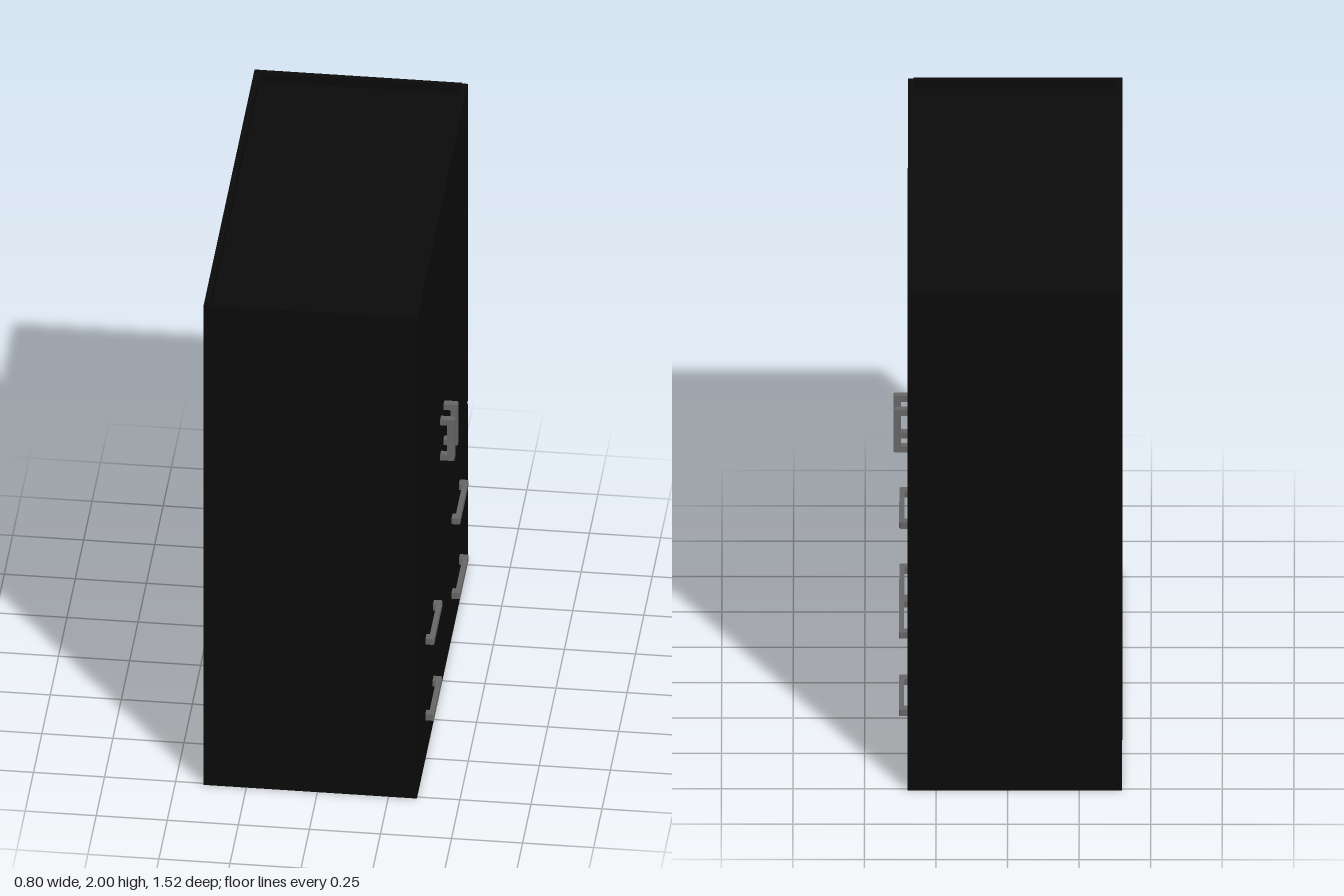
import * as THREE from 'three';

export function createModel() {
  const model = new THREE.Group();
  model.name = 'wardrobe';
  const black = new THREE.MeshStandardMaterial({ color: 0x0a0a0a });
  const grey = new THREE.MeshStandardMaterial({ color: 0x666666 });

  // Box given by its lower and upper corners
  function panel(name, [x0, y0, z0], [x1, y1, z1]) {
    const mesh = new THREE.Mesh(new THREE.BoxGeometry(x1 - x0, y1 - y0, z1 - z0), black);
    mesh.name = name;
    mesh.position.set((x0 + x1) / 2, (y0 + y1) / 2, (z0 + z1) / 2);
    model.add(mesh);
  }

  const back = -0.4, front = 0.35, half = 0.76, t = 0.02;
  const inner = front - t, seam = 0.67;

  // Carcass, with the top panel sunk below the rim
  for (const s of [-1, 1]) {
    const z = [s * half, s * (half - t)].sort((a, b) => a - b);
    panel(s > 0 ? 'leftSide' : 'rightSide', [back, 0, z[0]], [inner, 2, z[1]]);
  }
  panel('backPanel', [back, 0, -half + t], [back + t, 2, half - t]);
  panel('topPanel', [back + t, 1.94, -half + t], [inner, 1.965, half - t]);
  panel('bottomPanel', [back + t, 0, -half + t], [inner, t, half - t]);
  panel('middleShelf', [back + t, seam - 0.02, -half + t], [inner, seam + 0.02, half - t]);

  // Two doors above two drawer fronts, with a shadow gap between
  panel('leftDoor', [inner, seam + 0.006, 0], [front, 1.997, half]);
  panel('rightDoor', [inner, seam + 0.006, -half], [front, 1.997, 0]);
  panel('upperDrawerFront', [inner, 0.335, -half], [front, seam - 0.006, half]);
  panel('lowerDrawerFront', [inner, 0, -half], [front, 0.335, half]);

  // U-shaped pull: x is the reach, y the length, z the width
  function pull(name, length, reach, bar, foot, y, z, horizontal) {
    const h = length / 2, c = 0.004;
    const shape = new THREE.Shape([
      [0, -h], [reach - c, -h], [reach, -h + c], [reach, h - c], [reach - c, h], [0, h],
      [0, h - foot], [reach - bar, h - foot], [reach - bar, -h + foot], [0, -h + foot],
    ].map(([px, py]) => new THREE.Vector2(px, py)));
    const geometry = new THREE.ExtrudeGeometry(shape, { depth: 0.025, bevelEnabled: false });
    geometry.translate(0, 0, -0.0125);
    if (horizontal) geometry.rotateX(Math.PI / 2);
    const mesh = new THREE.Mesh(geometry, grey);
    mesh.name = name;
    mesh.position.set(front, y, z);
    model.add(mesh);
  }

  pull('leftDoorHandle', 0.17, 0.05, 0.026, 0.024, 1.045, 0.051, false);
  pull('rightDoorHandle', 0.17, 0.05, 0.026, 0.024, 1.045, -0.048, false);
  pull('upperDrawerLeftHandle', 0.25, 0.03, 0.018, 0.03, 0.488, 0.377, true);
  pull('upperDrawerRightHandle', 0.25, 0.03, 0.018, 0.03, 0.488, -0.4, true);
  pull('lowerDrawerLeftHandle', 0.25, 0.03, 0.018, 0.03, 0.177, 0.385, true);
  pull('lowerDrawerRightHandle', 0.25, 0.03, 0.018, 0.03, 0.177, -0.4, true);

  return model;
}
